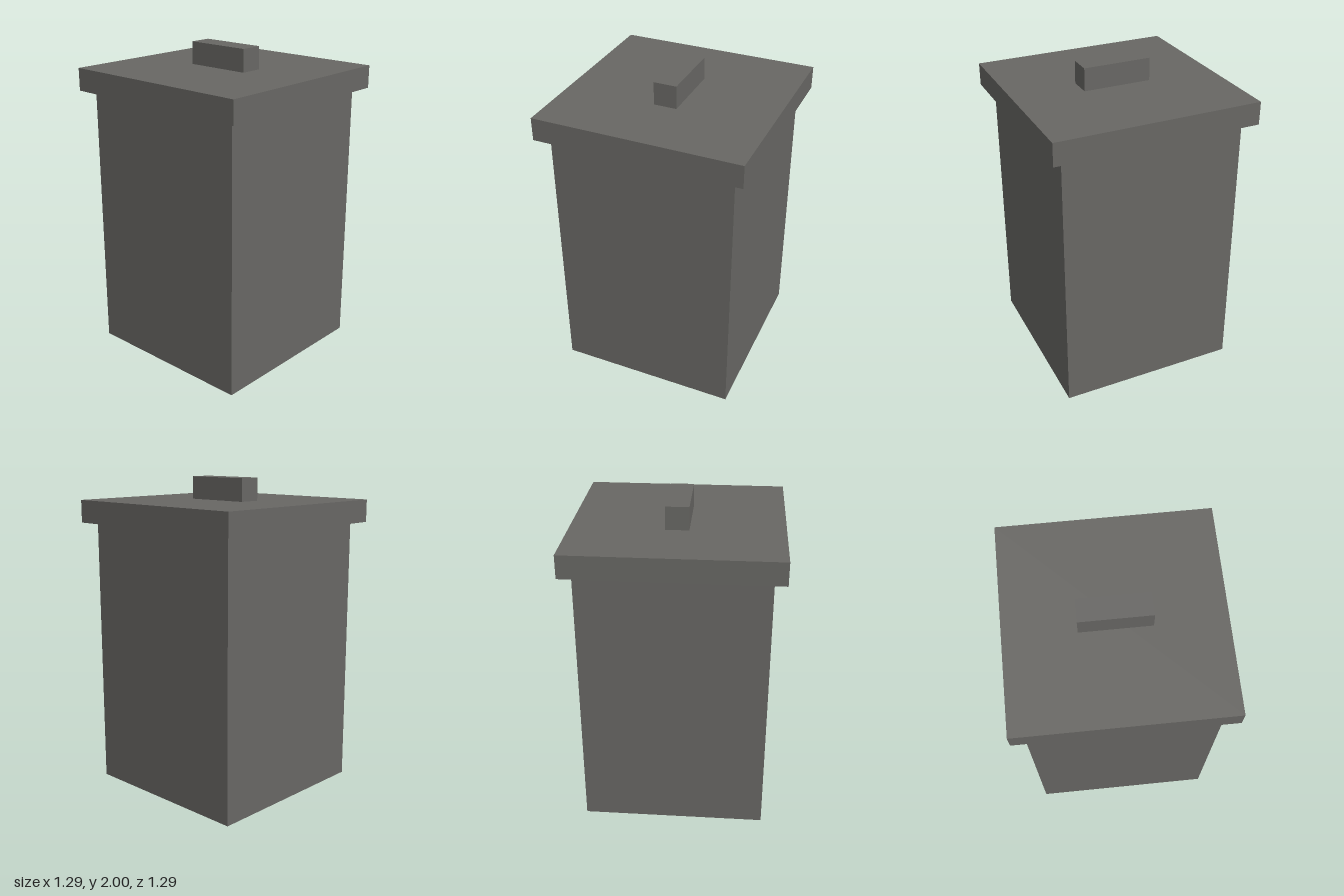
import * as THREE from 'three';

const U = 1 / 7 / 2; // design unit: the bin is 28 units tall

export function createModel() {
  const bin = new THREE.Group();
  bin.name = 'lidded bin';

  const grey = new THREE.MeshStandardMaterial({ color: 0x686764 });
  grey.name = 'warm grey';
  const slate = new THREE.MeshStandardMaterial({ color: 0x4e5a69 });
  slate.name = 'slate blue';

  // Box given by its size and base-centre, in units; the underside may differ in colour
  function box(name, [w, h, d], [x, y, z], underside = grey) {
    const materials = [grey, grey, grey, underside, grey, grey];
    const mesh = new THREE.Mesh(
      new THREE.BoxGeometry(w * U, h * U, d * U),
      underside === grey ? grey : materials
    );
    mesh.name = name;
    mesh.position.set(x * U, (y + h / 2) * U, z * U);
    bin.add(mesh);
  }

  // Walls: front and back run full width, the sides fit between them
  box('frontWall', [16, 24, 2], [0, 0, 7], slate);
  box('backWall', [16, 24, 2], [0, 0, -7], slate);
  box('leftWall', [2, 24, 12], [7, 0, 0], slate);
  box('rightWall', [2, 24, 12], [-7, 0, 0]);

  // Raised floor, leaving a recess underneath
  box('floor', [12, 2, 12], [0, 6, 0]);

  // Overhanging lid and its handle
  box('lid', [18, 2, 18], [0, 24, 0]);
  box('handle', [2, 2, 6], [0, 26, 0]);

  return bin;
}
